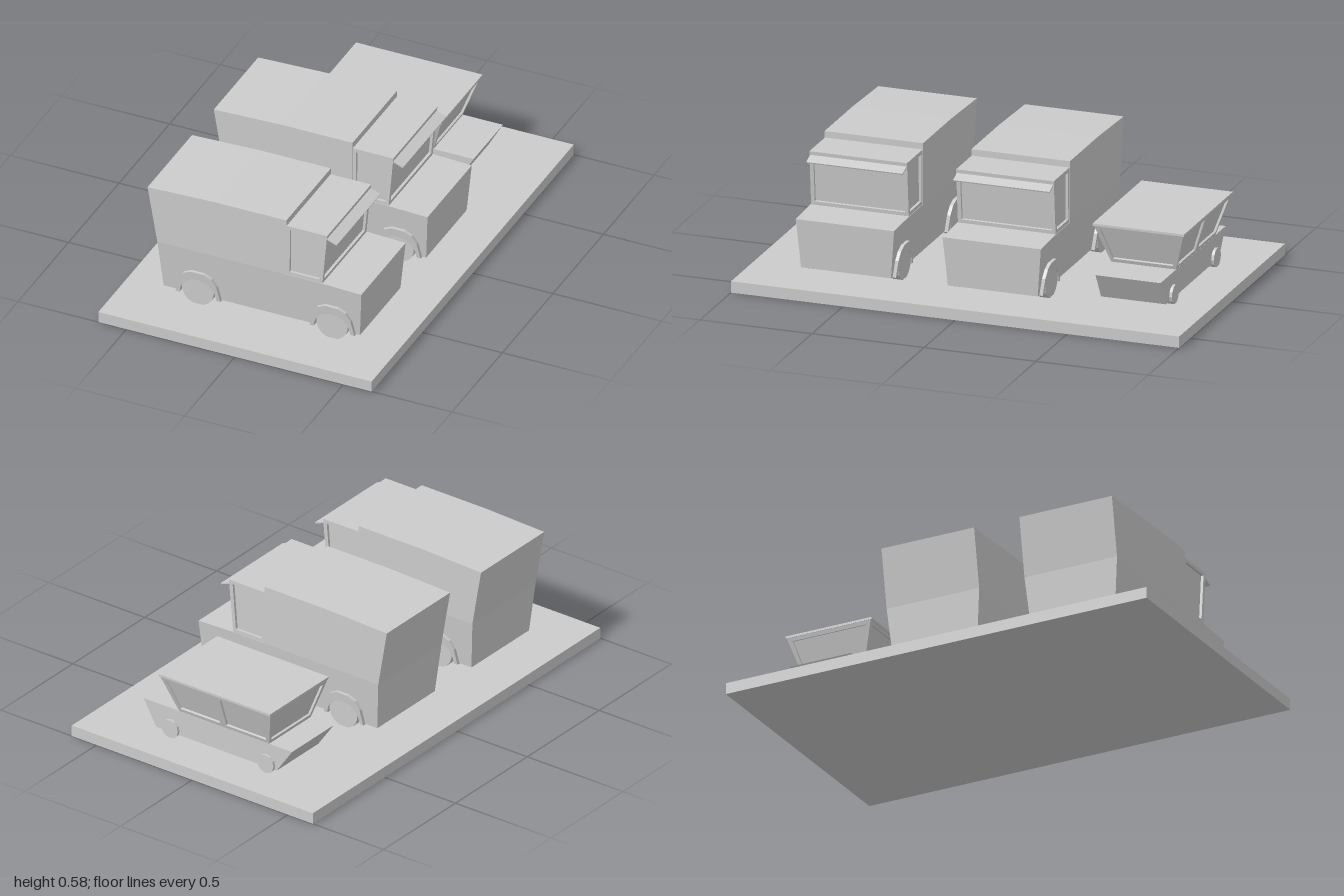
import * as THREE from 'three';

const grey = new THREE.MeshStandardMaterial({ color: 0xcccccc, flatShading: true, side: THREE.DoubleSide });

function add(parent, name, geometry, x = 0, y = 0, z = 0) {
  const mesh = new THREE.Mesh(geometry, grey);
  mesh.name = name;
  mesh.position.set(x, y, z);
  parent.add(mesh);
  return mesh;
}

// Side profile extruded across the vehicle, centred on z = 0
function slab(points, width) {
  const shape = new THREE.Shape(points.map(p => new THREE.Vector2(p[0], p[1])));
  return new THREE.ExtrudeGeometry(shape, { depth: width, bevelEnabled: false }).translate(0, 0, -width / 2);
}

// Points along an arch from angle a to angle b
function arc(cx, cy, r, a, b, n = 10) {
  return Array.from({ length: n + 1 }, (_, i) => {
    const t = a + (b - a) * i / n;
    return [cx + r * Math.cos(t), cy + r * Math.sin(t)];
  });
}

// Flared cabin: a ring of walls, each holding a number of recessed windows
function cabinGeometry(low, high, windows, margin, depth) {
  const ring = s => [[s.x1, s.w], [s.x1, -s.w], [s.x0, -s.w], [s.x0, s.w]]
    .map(([x, z]) => new THREE.Vector3(x, s.y, z));
  const b = ring(low), t = ring(high), out = [];
  const quad = (p, q, r, s) => [p, q, r, p, r, s].forEach(v => out.push(v.x, v.y, v.z));

  windows.forEach((count, side) => {
    const next = (side + 1) % 4;
    const at = (u, v) => b[side].clone().lerp(b[next], u).lerp(t[side].clone().lerp(t[next], u), v);
    if (!count) return quad(at(0, 0), at(1, 0), at(1, 1), at(0, 1));
    const inward = at(1, 0).sub(at(0, 0)).cross(at(0, 1).sub(at(0, 0))).normalize().multiplyScalar(-depth);
    const m = margin / at(0, 0.5).distanceTo(at(1, 0.5));
    const mv = margin / at(0.5, 0).distanceTo(at(0.5, 1));
    for (let k = 0; k < count; k++) {
      const u0 = k / count, u1 = (k + 1) / count;
      const outer = [at(u0, 0), at(u1, 0), at(u1, 1), at(u0, 1)];
      const inner = [at(u0 + m, mv), at(u1 - m, mv), at(u1 - m, 1 - mv), at(u0 + m, 1 - mv)];
      const pane = inner.map(p => p.clone().add(inward));
      for (let i = 0; i < 4; i++) {
        const j = (i + 1) % 4;
        quad(outer[i], outer[j], inner[j], inner[i]);
        quad(inner[i], inner[j], pane[j], pane[i]);
      }
      quad(...pane);
    }
  });
  quad(...t);
  const geometry = new THREE.BufferGeometry();
  geometry.setAttribute('position', new THREE.Float32BufferAttribute(out, 3));
  geometry.computeVertexNormals();
  return geometry;
}

function addWheels(parent, xs, y, radius, z, width, sides) {
  for (const x of xs) for (const s of [1, -1]) {
    add(parent, 'wheel', new THREE.CylinderGeometry(radius, radius, width, sides).rotateX(Math.PI / 2), x, y, s * z);
  }
}

const truckAxles = [-0.28, 0.338];
// Half width of the lower truck body at height y
const bodyHalf = y => 0.2 + 0.02 * (y - 0.085) / 0.225;

function makeTruck() {
  const truck = new THREE.Group();
  truck.name = 'truck';

  // Lower body and hood, with open wheel arches, narrowing downwards
  const sill = 0.087;
  const arches = truckAxles.map(x => arc(x, sill, 0.088, Math.PI, 0)).flat();
  const lower = slab([[-0.445, sill], ...arches, [0.46, sill], [0.475, 0.303], [0.3, 0.31], [-0.465, 0.31]], 2);
  const p = lower.attributes.position;
  for (let i = 0; i < p.count; i++) p.setZ(i, Math.sign(p.getZ(i)) * bodyHalf(p.getY(i)));
  lower.computeVertexNormals();
  add(truck, 'lowerBody', lower);

  // Cargo box leaning out at the rear
  add(truck, 'cargoBox', slab([[-0.465, 0.31], [0.13, 0.31], [0.13, 0.58], [-0.2, 0.58], [-0.51, 0.57]], 0.44));

  // Cab with recessed windshield and side windows, and a sun visor
  add(truck, 'cab', cabinGeometry(
    { x0: 0.128, x1: 0.295, y: 0.309, w: 0.218 },
    { x0: 0.128, x1: 0.317, y: 0.552, w: 0.218 }, [1, 1, 0, 1], 0.017, 0.012));
  add(truck, 'visor', new THREE.BoxGeometry(0.05, 0.006, 0.43), 0.337, 0.525, 0).rotation.z = -0.36;

  // Fenders following the taper of the body
  const outline = [[0.103, 0.085], [0.088, 0.155], [0.065, 0.19], [0.03, 0.207],
    [-0.03, 0.207], [-0.065, 0.19], [-0.088, 0.155], [-0.103, 0.085]];
  for (const x of truckAxles) for (const s of [1, -1]) {
    const g = slab([...outline, ...arc(0, 0.087, 0.084, Math.PI, 0)], 2);
    const q = g.attributes.position;
    for (let i = 0; i < q.count; i++) {
      const half = bodyHalf(q.getY(i));
      q.setZ(i, q.getZ(i) * s > 0 ? s * (half + 0.015) : s * (half - 0.02));
    }
    // Mirrored copies keep the same winding because z only changes in size
    g.computeVertexNormals();
    add(truck, 'fender', g, x);
  }

  addWheels(truck, truckAxles, 0.119, 0.073, 0.195, 0.042, 18);
  return truck;
}

function makeCar() {
  const car = new THREE.Group();
  car.name = 'car';
  add(car, 'body', slab([[-0.31, 0.07], [0.32, 0.07], [0.385, 0.185], [-0.39, 0.185]], 0.29));
  // Glasshouse widening up to the roof
  add(car, 'cabin', cabinGeometry(
    { x0: -0.27, x1: 0.2, y: 0.184, w: 0.144 },
    { x0: -0.318, x1: 0.26, y: 0.358, w: 0.2 }, [1, 2, 1, 2], 0.018, 0.01));
  add(car, 'roof', new THREE.BoxGeometry(0.583, 0.01, 0.408), -0.028, 0.362, 0);
  addWheels(car, [-0.26, 0.24], 0.09, 0.042, 0.144, 0.026, 12);
  return car;
}

export function createModel() {
  const model = new THREE.Group();
  model.name = 'parkedVehicles';
  add(model, 'groundSlab', new THREE.BoxGeometry(1.26, 0.05, 2), 0, 0.025, 0);
  for (const z of [0.55, -0.105]) {
    const truck = makeTruck();
    truck.position.z = z;
    model.add(truck);
  }
  const car = makeCar();
  car.position.z = -0.68;
  model.add(car);
  return model;
}
